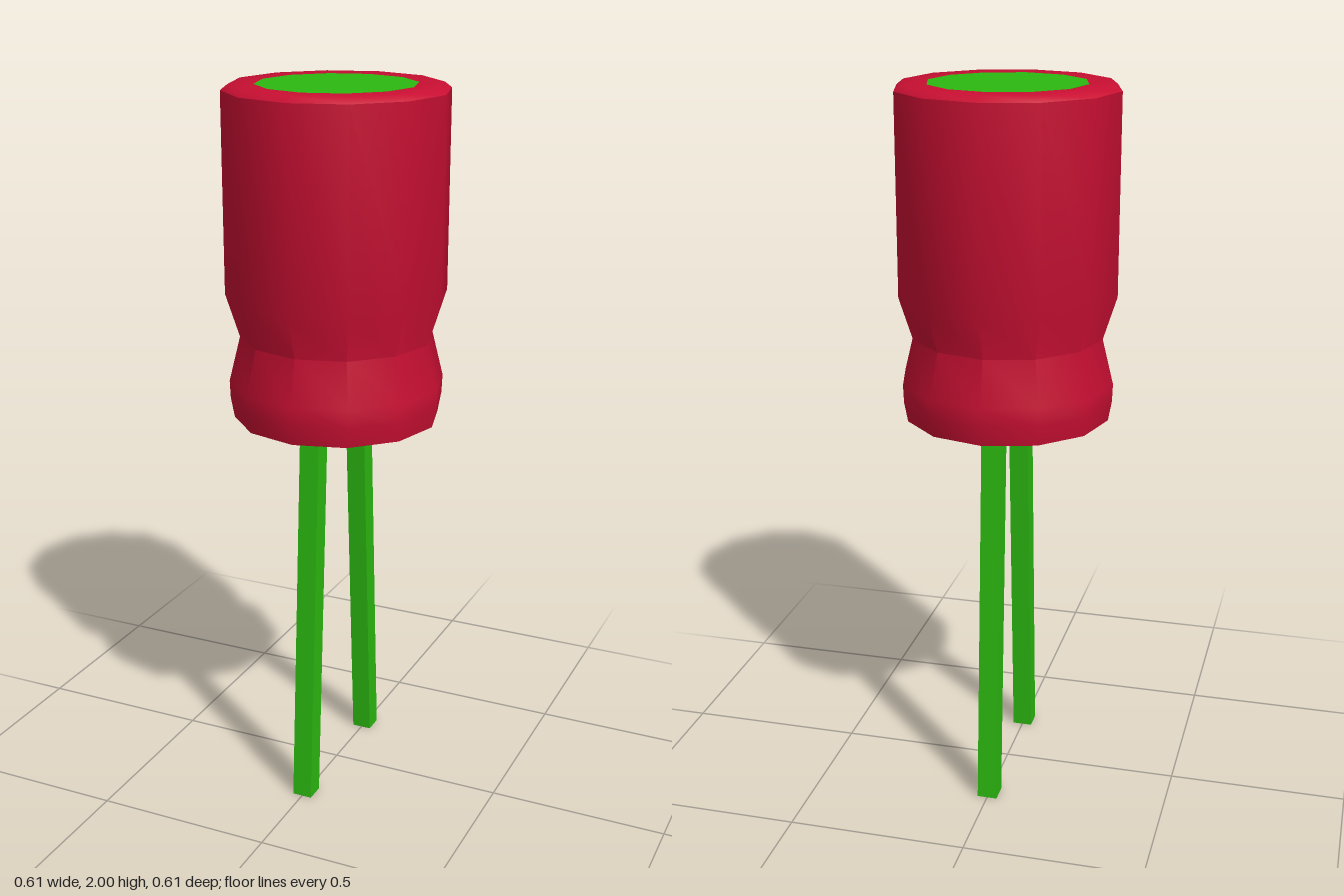
import * as THREE from 'three';
import { toCreasedNormals } from 'three/addons/utils/BufferGeometryUtils.js';

const SIDES = 12;
const red = new THREE.MeshStandardMaterial({ color: 0xc80f32 });
const green = new THREE.MeshStandardMaterial({ color: 0x2bb810 });

// Revolve an [r, y] profile, smooth around the wall, sharp at the rims
function revolve(profile) {
  const points = profile.map(([r, y]) => new THREE.Vector2(r, y));
  return toCreasedNormals(new THREE.LatheGeometry(points, SIDES), 0.7);
}

// Square wire lead, sheared so that its ends stay level
function leadGeometry(width, height, zBottom, zTop) {
  const geometry = new THREE.BoxGeometry(width, height, width);
  geometry.translate(0, height / 2, 0);
  const p = geometry.attributes.position;
  for (let i = 0; i < p.count; i++) {
    p.setZ(i, p.getZ(i) + THREE.MathUtils.lerp(zBottom, zTop, p.getY(i) / height));
  }
  geometry.computeVertexNormals();
  return geometry;
}

export function createModel() {
  const model = new THREE.Group();
  model.name = 'capacitor';

  const add = (name, geometry, material) => {
    const mesh = new THREE.Mesh(geometry, material);
    mesh.name = name;
    model.add(mesh);
    return mesh;
  };

  // Sleeve with flat base, crimped waist, bevelled rim and top ring
  add('sleeve', revolve([
    [0, 1.095], [0.284, 1.095], [0.294, 1.15], [0.296, 1.2], [0.265, 1.325],
    [0.303, 1.445], [0.303, 1.985], [0.284, 2], [0.216, 2],
  ]), red);

  // Exposed disc, flush with the top ring
  const disc = add('topDisc', new THREE.CircleGeometry(0.216, SIDES), green);
  disc.rotation.x = -Math.PI / 2;
  disc.position.y = 2;

  // Two leads splayed outwards towards the ground
  for (const [name, side] of [['frontLead', 1], ['backLead', -1]]) {
    add(name, leadGeometry(0.056, 1.096, 0.215 * side, 0.15 * side), green);
  }

  return model;
}
